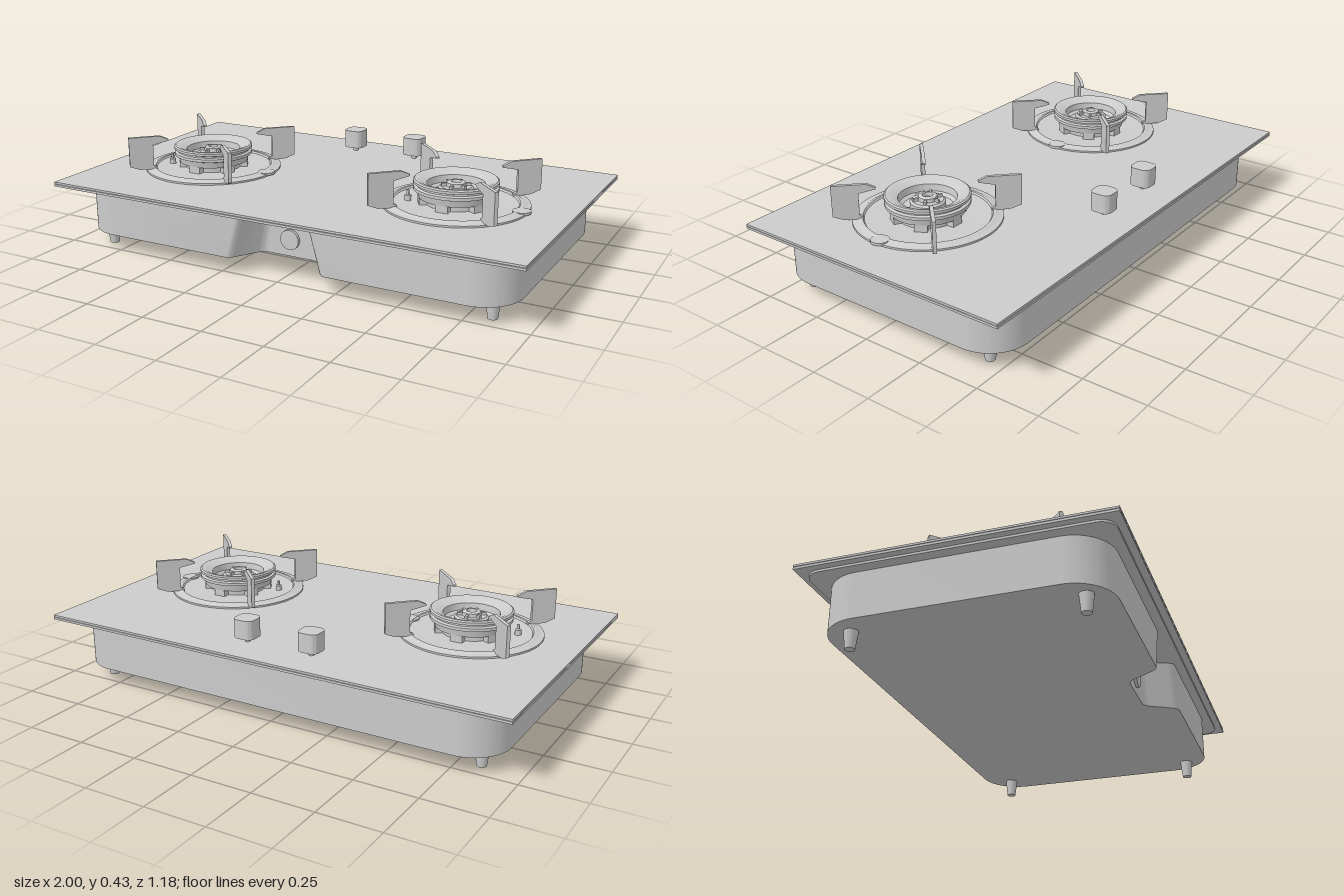
import * as THREE from 'three';
import { toCreasedNormals } from 'three/addons/utils/BufferGeometryUtils.js';

const grey = new THREE.MeshStandardMaterial({ color: 0xcccccc, side: THREE.DoubleSide });

function add(parent, name, geometry, x = 0, y = 0, z = 0) {
  const mesh = new THREE.Mesh(geometry, grey);
  mesh.name = name;
  mesh.position.set(x, y, z);
  parent.add(mesh);
  return mesh;
}

// Lathe from [radius, height] pairs, keeping hard profile edges
function lathe(pairs, segments = 64) {
  const points = pairs.map(([r, y]) => new THREE.Vector2(r, y));
  return toCreasedNormals(new THREE.LatheGeometry(points, segments), 0.5);
}

// Rounded outline in x/z; an optional notch is cut into the front edge
function outline(x, back, front, r, notch) {
  const s = new THREE.Shape();
  s.moveTo(-x + r, back);
  s.absarc(x - r, back + r, r, -Math.PI / 2, 0);
  s.absarc(x - r, front - r, r, 0, Math.PI / 2);
  if (notch) {
    const { outer, inner, depth } = notch;
    s.lineTo(outer + 0.02, front);
    s.quadraticCurveTo(outer, front, outer - 0.015, front - 0.025);
    s.lineTo(inner + 0.015, front - depth + 0.02);
    s.quadraticCurveTo(inner, front - depth, inner - 0.025, front - depth);
    s.lineTo(-inner + 0.025, front - depth);
    s.quadraticCurveTo(-inner, front - depth, -inner - 0.015, front - depth + 0.02);
    s.lineTo(-outer + 0.015, front - 0.025);
    s.quadraticCurveTo(-outer, front, -outer - 0.02, front);
  }
  s.absarc(-x + r, front - r, r, Math.PI / 2, Math.PI);
  s.absarc(-x + r, back + r, r, Math.PI, Math.PI * 1.5);
  return s;
}

// Horizontal slab from an outline, between two heights
function slab(shape, bottom, top) {
  const g = new THREE.ExtrudeGeometry(shape, { depth: top - bottom, bevelEnabled: false, curveSegments: 12 });
  g.rotateX(Math.PI / 2);
  g.translate(0, top, 0);
  return g;
}

function bodyGeometry() {
  const g = slab(outline(0.928, -0.54, 0.525, 0.16, { outer: 0.2, inner: 0.12, depth: 0.13 }), 0.07, 0.252);
  // The notch narrows towards the top
  const p = g.attributes.position;
  for (let i = 0; i < p.count; i++) {
    if (Math.abs(p.getX(i)) < 0.25 && p.getZ(i) > 0.3 && p.getY(i) > 0.2) p.setX(i, p.getX(i) * 0.74);
  }
  return toCreasedNormals(g, 0.6);
}

// Pan support blade, drawn as [radius, height] and centred on its thickness
function supportGeometry() {
  const profile = [[0.355, 0.43], [0.355, 0.306], [0.315, 0.291], [0.24, 0.288], [0.24, 0.298],
    [0.255, 0.305], [0.255, 0.394], [0.19, 0.408], [0.19, 0.414], [0.225, 0.43]];
  const shape = new THREE.Shape(profile.map(([r, y]) => new THREE.Vector2(r, y)));
  const g = new THREE.ExtrudeGeometry(shape, { depth: 0.014, bevelEnabled: false });
  g.translate(0, 0, -0.007);
  return g;
}

function createBurner() {
  const burner = new THREE.Group();
  burner.name = 'burner';

  add(burner, 'dripTray', lathe([[0.285, 0.28], [0.285, 0.287], [0.26, 0.291], [0.255, 0.294], [0.245, 0.294],
    [0.24, 0.287], [0.18, 0.284], [0, 0.284]]));
  add(burner, 'trayTab', new THREE.CylinderGeometry(0.035, 0.035, 0.01, 24), 0.263, 0.288, 0);

  // Burner head: pedestal, grooved rim and a bowl sunk in its top
  add(burner, 'pedestal', lathe([[0.115, 0.283], [0.115, 0.312]]));
  add(burner, 'burnerHead', lathe([[0.115, 0.31], [0.143, 0.31], [0.148, 0.335], [0.163, 0.34], [0.163, 0.352],
    [0.152, 0.356], [0.152, 0.362], [0.164, 0.366], [0.164, 0.376], [0.158, 0.381], [0.148, 0.381],
    [0.112, 0.362], [0.108, 0.335], [0.095, 0.325], [0, 0.325]]));
  add(burner, 'innerBurner', lathe([[0.068, 0.324], [0.068, 0.345], [0.06, 0.352], [0.038, 0.352], [0.036, 0.366],
    [0.03, 0.37], [0.02, 0.37], [0.018, 0.355], [0, 0.355]], 48));

  // Feet under the head and slots on the inner cap
  for (let i = 0; i < 6; i++) {
    const a = (i + 0.5) * Math.PI / 3;
    const foot = add(burner, 'headFoot', new THREE.BoxGeometry(0.03, 0.03, 0.05),
      0.128 * Math.cos(a), 0.298, 0.128 * Math.sin(a));
    foot.rotation.y = -a;
    const rib = add(burner, 'capRib', new THREE.BoxGeometry(0.02, 0.012, 0.01),
      0.047 * Math.cos(a), 0.357, 0.047 * Math.sin(a));
    rib.rotation.y = -a;
  }

  add(burner, 'igniter', lathe([[0.013, 0.284], [0.013, 0.305], [0.006, 0.308], [0.006, 0.325], [0, 0.325]], 20),
    -0.175, 0, 0.055);

  const blade = supportGeometry();
  for (let i = 0; i < 4; i++) {
    add(burner, 'panSupport', blade).rotation.y = Math.PI / 4 + i * Math.PI / 2;
  }
  return burner;
}

export function createModel() {
  const model = new THREE.Group();
  model.name = 'gasHob';

  // Housing and worktop
  add(model, 'body', bodyGeometry());
  add(model, 'flange', toCreasedNormals(slab(outline(0.972, -0.565, 0.562, 0.06), 0.252, 0.261), 0.6));
  add(model, 'lowerPlate', new THREE.BoxGeometry(2, 0.009, 1.18), 0, 0.2655, 0);
  add(model, 'plateSeam', new THREE.BoxGeometry(1.985, 0.004, 1.165), 0, 0.271, 0);
  add(model, 'topPlate', new THREE.BoxGeometry(2, 0.008, 1.18), 0, 0.276, 0);

  // Round port in the front notch
  const port = add(model, 'gasPort', new THREE.CylinderGeometry(0.04, 0.04, 0.02, 32), 0, 0.14, 0.397);
  port.rotation.x = Math.PI / 2;

  // Tapered feet
  for (const x of [-0.838, 0.838]) {
    for (const z of [-0.43, 0.43]) {
      add(model, 'foot', new THREE.CylinderGeometry(0.027, 0.019, 0.072, 24), x, 0.036, z);
    }
  }

  // Control knobs on short stems
  const knob = toCreasedNormals(slab(outline(0.043, -0.043, 0.043, 0.027), 0.3, 0.376), 0.6);
  for (const x of [-0.145, 0.142]) {
    add(model, 'knobStem', new THREE.CylinderGeometry(0.011, 0.011, 0.03, 16), x, 0.292, -0.435);
    add(model, 'knob', knob, x, 0, -0.435);
  }

  // Two identical burners
  for (const x of [-0.56, 0.55]) {
    const burner = createBurner();
    burner.position.set(x, 0, 0.087);
    model.add(burner);
  }
  return model;
}
